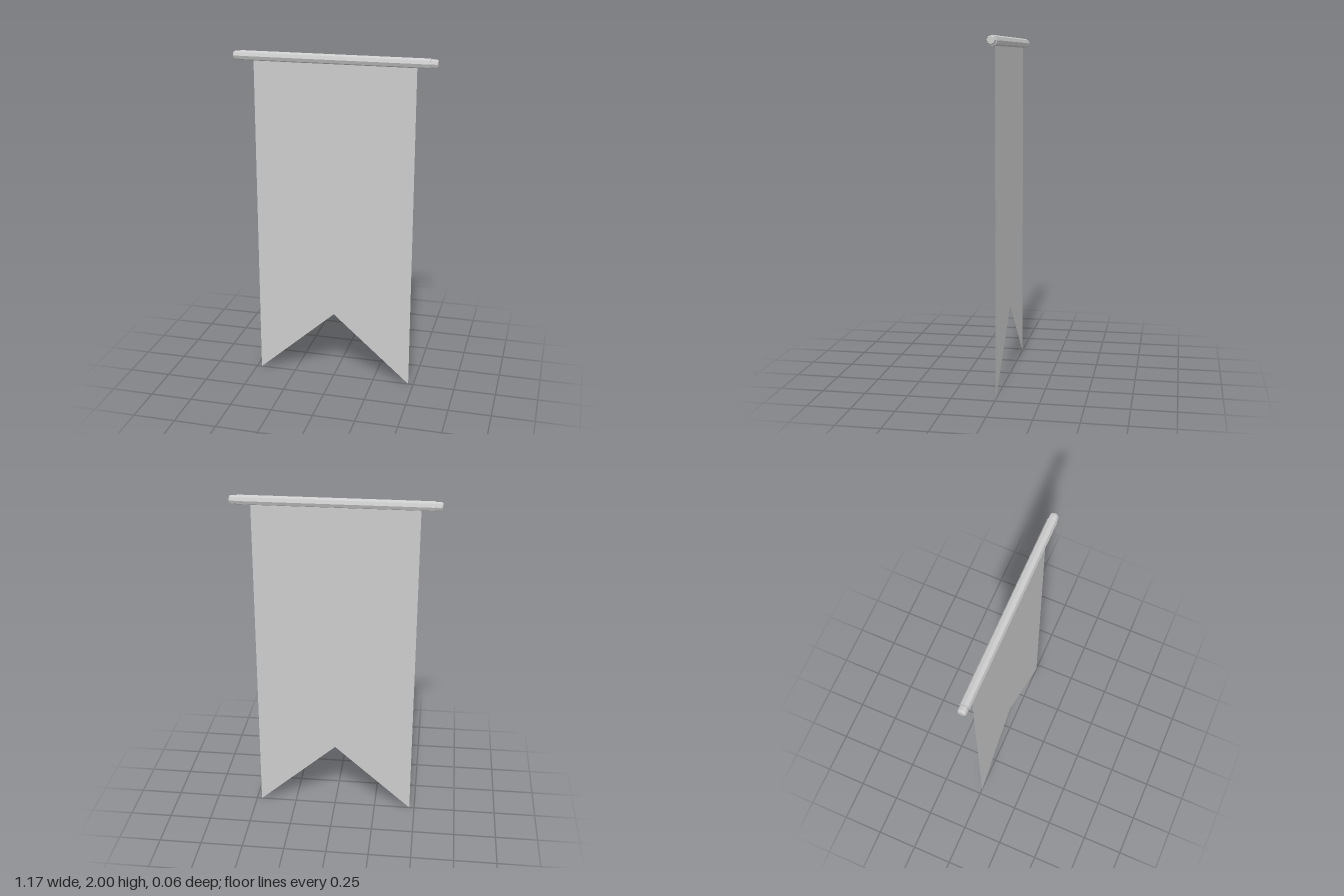
import * as THREE from 'three';

export function createModel() {
  const group = new THREE.Group();
  const wood = new THREE.MeshStandardMaterial({ color: 0xcccccc, flatShading: true });
  const fabric = new THREE.MeshStandardMaterial({ color: 0xcccccc, side: THREE.DoubleSide });
  const rodY = 1.972;

  // Octagonal part turned about the x axis, from [radius, x] pairs
  function turned(name, profile) {
    const geometry = new THREE.LatheGeometry(profile.map(([r, x]) => new THREE.Vector2(r, x)), 8);
    geometry.rotateZ(-Math.PI / 2);
    const mesh = new THREE.Mesh(geometry, wood);
    mesh.name = name;
    mesh.position.y = rodY;
    group.add(mesh);
    return mesh;
  }

  // Crossbar with flat ends
  turned('crossbar', [[0, -0.545], [0.028, -0.545], [0.028, 0.545], [0, 0.545]]);

  // Bevelled end caps
  const cap = [[0, 0.54], [0.022, 0.543], [0.025, 0.553], [0.025, 0.575], [0.02, 0.585], [0, 0.585]];
  turned('leftEndCap', cap);
  turned('rightEndCap', cap).rotation.y = Math.PI;

  // Swallow-tailed cloth hanging from the crossbar
  const outline = [[-0.47, 0], [0, 0.415], [0.47, 0], [0.47, rodY], [-0.47, rodY]];
  const shape = new THREE.Shape(outline.map(([x, y]) => new THREE.Vector2(x, y)));
  const cloth = new THREE.Mesh(new THREE.ShapeGeometry(shape), fabric);
  cloth.name = 'bannerCloth';
  group.add(cloth);

  return group;
}
